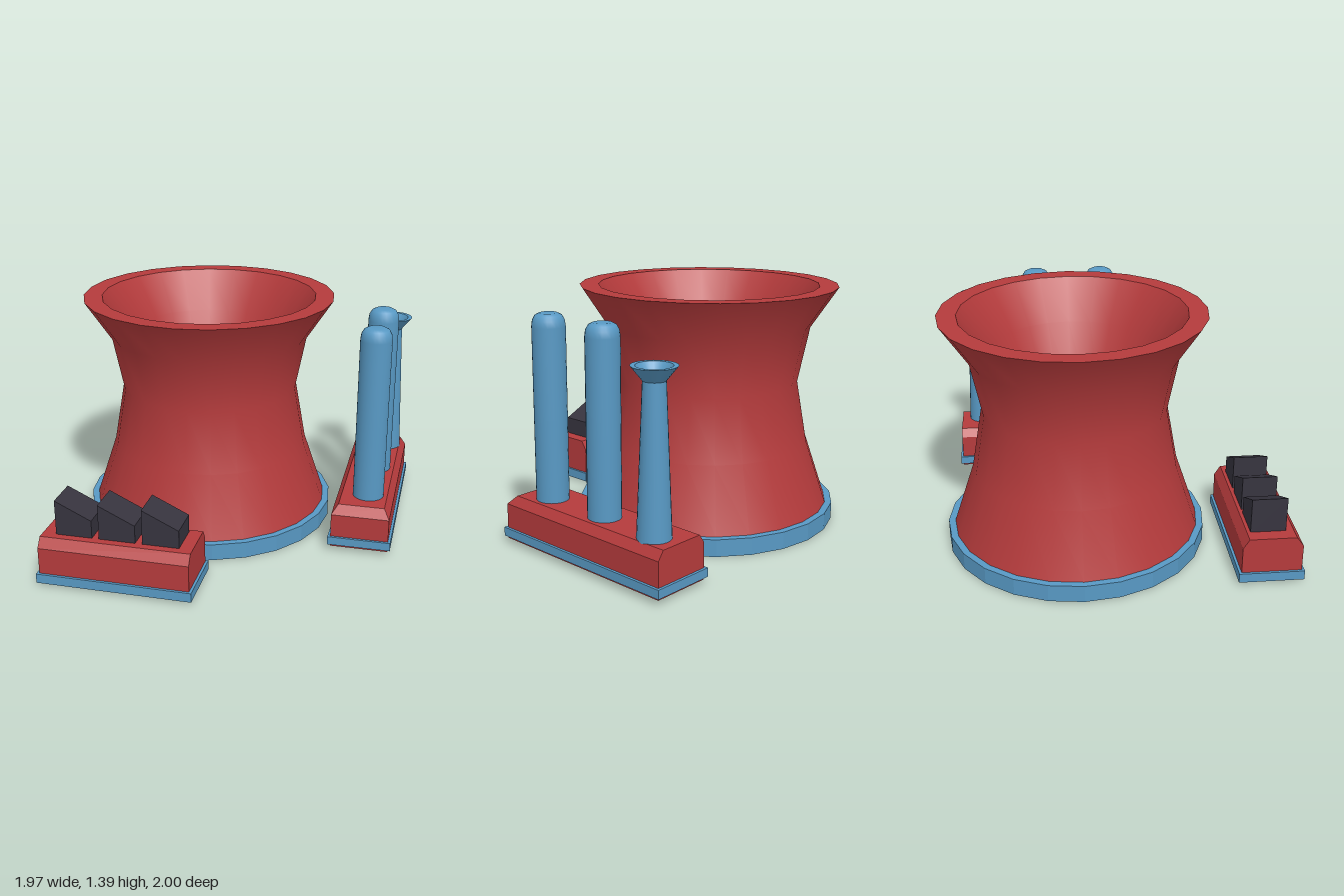
import * as THREE from 'three';

const mat = (color, extra = {}) => new THREE.MeshStandardMaterial({ color, ...extra });
const RED = mat(0xb53b3c);
const RED_FLAT = mat(0xb53b3c, { flatShading: true });
const BLUE = mat(0x5899c4);
const BLUE_FLAT = mat(0x5899c4, { flatShading: true });
const DARK = mat(0x37343f, { flatShading: true });
const BLACK = mat(0x0c0c0c);

function add(parent, name, geometry, material, x = 0, y = 0, z = 0) {
  const mesh = new THREE.Mesh(geometry, material);
  mesh.name = name;
  mesh.position.set(x, y, z);
  parent.add(mesh);
  return mesh;
}

const lathe = (points, sides) =>
  new THREE.LatheGeometry(points.map(([r, y]) => new THREE.Vector2(r, y)), sides);

// Rectangular frame lying flat: outer size w x d, wall thickness t, height h
function frame(w, d, t, h) {
  const rect = (Type, a, b) => {
    const p = new Type();
    p.moveTo(-a, -b).lineTo(a, -b).lineTo(a, b).lineTo(-a, b).closePath();
    return p;
  };
  const shape = rect(THREE.Shape, w / 2, d / 2);
  shape.holes.push(rect(THREE.Path, w / 2 - t, d / 2 - t));
  return new THREE.ExtrudeGeometry(shape, { depth: h, bevelEnabled: false }).rotateX(-Math.PI / 2);
}

// Box whose top is drawn in above a shoulder; inset = [left, right, back, front]
function chamferedBox(w, d, y0, shoulder, y1, [l, r, b, f]) {
  const g = new THREE.BoxGeometry(w, 2, d, 1, 2, 1);
  const p = g.attributes.position;
  for (let i = 0; i < p.count; i++) {
    const row = Math.round(p.getY(i));
    p.setY(i, row < 0 ? y0 : row > 0 ? y1 : shoulder);
    if (row > 0) {
      p.setX(i, p.getX(i) < 0 ? -w / 2 + l : w / 2 - r);
      p.setZ(i, p.getZ(i) < 0 ? -d / 2 + b : d / 2 - f);
    }
  }
  g.computeVertexNormals();
  return g;
}

// Chamfered building with a trim band and a recessed underside
function building(name, { x, z, w, d, bottom, band, shoulder, top, inset }) {
  const g = new THREE.Group();
  g.name = name;
  g.position.set(x, 0, z);
  const floor = band[1] - 0.01;
  add(g, 'body', chamferedBox(w, d, floor, shoulder, top, inset), RED_FLAT);
  add(g, 'bottomRim', frame(w, d, 0.02, floor - bottom), RED_FLAT, 0, bottom);
  add(g, 'trimBand', frame(w + 0.03, d + 0.03, 0.015, band[1] - band[0]), BLUE_FLAT, 0, band[0]);
  add(g, 'floor', new THREE.PlaneGeometry(w - 0.02, d - 0.02).rotateX(Math.PI / 2), BLUE_FLAT, 0, floor - 0.004);
  return g;
}

function coolingTower() {
  const g = new THREE.Group();
  g.name = 'coolingTower';
  g.position.set(-0.22, 0, -0.235);
  const sides = 24;
  add(g, 'outerWall', lathe([[0.725, 0.1], [0.6, 0.47], [0.535, 0.835], [0.6, 1.16], [0.755, 1.395]], sides), RED);
  add(g, 'rim', lathe([[0.755, 1.395], [0.645, 1.395]], sides), RED_FLAT);
  add(g, 'innerWall', lathe([[0.645, 1.395], [0.49, 1.16], [0.335, 0.8]], sides), RED);
  add(g, 'shaftBottom', lathe([[0.335, 0.8], [0, 0.8]], sides), BLACK);
  // Base ring, hollow from below
  add(g, 'baseRing', lathe([[0.75, 0], [0.765, 0], [0.765, 0.1], [0.7, 0.1]], sides), BLUE_FLAT);
  add(g, 'baseInnerWall', lathe([[0.745, 0.095], [0.75, 0]], sides), RED_FLAT);
  add(g, 'baseFloor', lathe([[0, 0.095], [0.745, 0.095]], sides), BLUE_FLAT);
  return g;
}

export function createModel() {
  const model = new THREE.Group();
  model.name = 'powerPlant';
  model.add(coolingTower());

  // Workshop with sawtooth roof lights
  const workshop = building('workshop', {
    x: -0.457, z: 0.813, w: 0.865, d: 0.34, bottom: 0.018, band: [0.015, 0.07],
    shoulder: 0.225, top: 0.28, inset: [0, 0, 0.035, 0.04],
  });
  const tooth = new THREE.Shape();
  tooth.moveTo(0, 0).lineTo(0.21, 0).lineTo(0.21, 0.115).lineTo(0, 0.215).closePath();
  const toothGeometry = new THREE.ExtrudeGeometry(tooth, { depth: 0.2, bevelEnabled: false });
  for (let i = 0; i < 3; i++) {
    add(workshop, 'roofLight', toothGeometry, DARK, -0.353 + i * 0.25, 0.27, -0.115);
  }
  model.add(workshop);

  // Long boiler house carrying two tanks and a chimney
  const boilerHouse = building('boilerHouse', {
    x: 0.797, z: -0.367, w: 0.34, d: 1.165, bottom: 0.025, band: [0.04, 0.09],
    shoulder: 0.23, top: 0.28, inset: [0.035, 0.035, 0, 0.05],
  });
  model.add(boilerHouse);

  const tankGeometry = lathe(
    [[0.092, 0.27], [0.092, 0.75], [0.092, 1.25], [0.087, 1.285], [0.073, 1.31], [0.05, 1.322], [0, 1.322]], 24);
  for (const z of [-0.005, -0.42]) add(model, 'tank', tankGeometry, BLUE, 0.818, 0, z);

  const chimney = new THREE.Group();
  chimney.name = 'chimney';
  chimney.position.set(0.845, 0, -0.807);
  add(chimney, 'shaft', lathe([[0.092, 0.27], [0.06, 1.09]], 24), BLUE);
  add(chimney, 'flare', lathe([[0.06, 1.09], [0.12, 1.165]], 24), BLUE);
  add(chimney, 'lip', lathe([[0.12, 1.165], [0.095, 1.165]], 24), BLUE);
  add(chimney, 'throat', lathe([[0.095, 1.165], [0.062, 1.115]], 24), BLUE);
  add(chimney, 'throatBottom', lathe([[0.062, 1.115], [0, 1.115]], 24), BLUE);
  model.add(chimney);

  return model;
}
